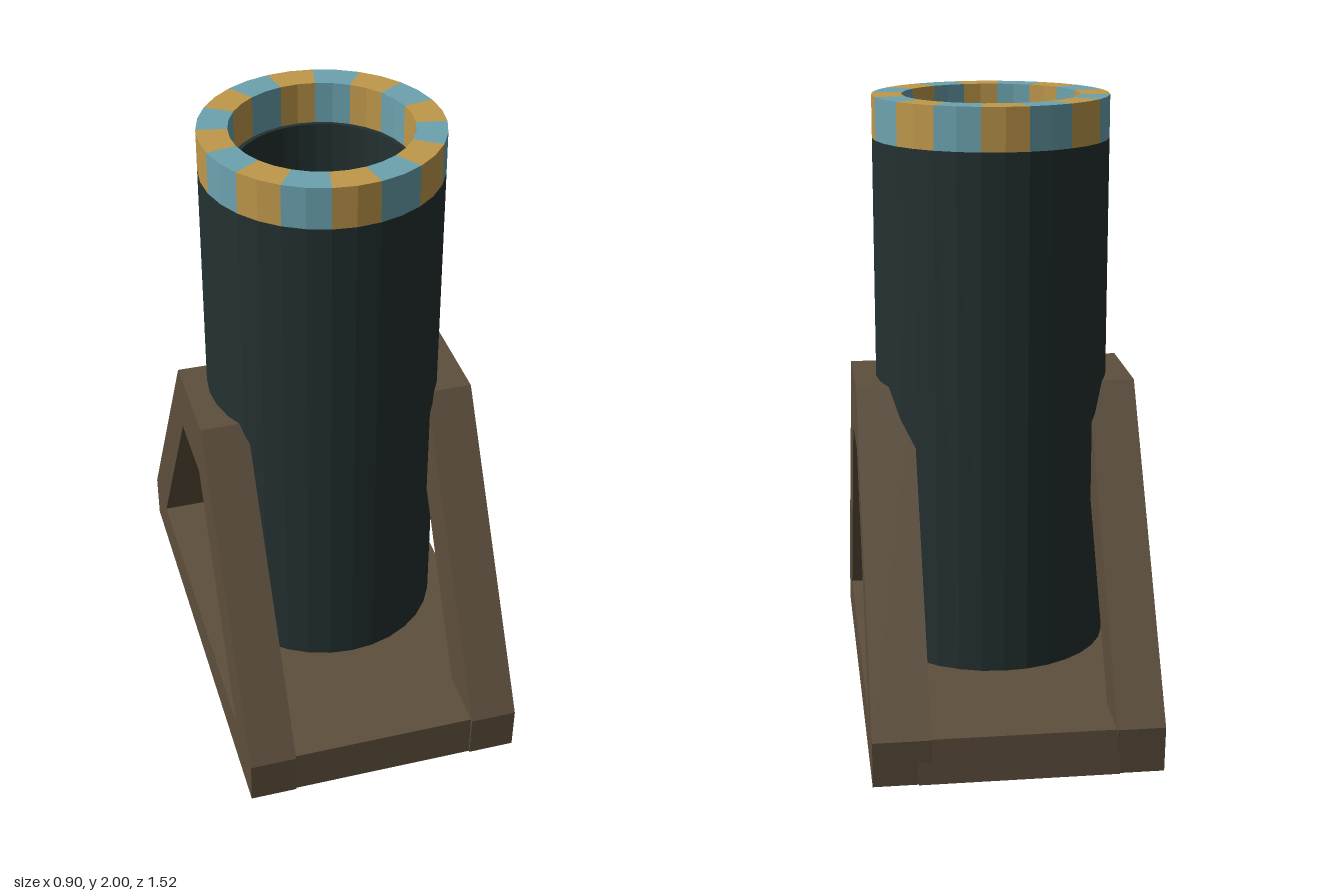
import * as THREE from 'three';

const mat = (name, color) => {
  const m = new THREE.MeshStandardMaterial({ color });
  m.name = name;
  return m;
};

// Faceted normals for the low-poly look
function faceted(geometry) {
  const g = geometry.index ? geometry.toNonIndexed() : geometry;
  g.computeVertexNormals();
  return g;
}

function addMesh(parent, name, geometry, material) {
  const mesh = new THREE.Mesh(faceted(geometry), material);
  mesh.name = name;
  parent.add(mesh);
  return mesh;
}

const points = (list) => list.map(([x, y]) => new THREE.Vector2(x, y));

export function createModel() {
  const wood = mat('dark wood', 0x5e4f3d);
  const iron = mat('dark iron', 0x243131);
  const blue = mat('blue paint', 0x6ca3b0);
  const gold = mat('gold paint', 0xbf984b);
  const stone = mat('tan stone', 0xa08b6c);

  const model = new THREE.Group();
  model.name = 'mortar';

  // Base slab between the side frames
  const base = addMesh(model, 'base', new THREE.BoxGeometry(0.62, 0.15, 1.51), wood);
  base.position.y = 0.075;

  // A-shaped side frames with a trapezoid opening; shape x runs towards the back
  const outline = points([[-0.76, 0], [0.75, 0], [0.76, 0.15], [0.15, 1.09], [-0.19, 1.09], [-0.765, 0.15]]);
  const opening = points([[-0.56, 0.15], [-0.13, 0.88], [0.12, 0.88], [0.58, 0.15]]);
  for (const side of [1, -1]) {
    const shape = new THREE.Shape(outline);
    shape.holes.push(new THREE.Path(opening));
    const g = new THREE.ExtrudeGeometry(shape, { depth: 0.15, bevelEnabled: false });
    g.rotateY(Math.PI / 2);
    g.translate(side > 0 ? 0.3 : -0.45, 0, 0);
    // The left frame's rear leg is slightly thicker on its inner face
    const p = g.attributes.position;
    for (let i = 0; i < p.count; i++) {
      if (side > 0 && p.getX(i) < 0.35 && p.getZ(i) < -0.1) p.setX(i, 0.27);
    }
    addMesh(model, side > 0 ? 'leftFrame' : 'rightFrame', g, wood);
  }

  // Hollow upright barrel with a closed bottom
  const barrel = points([[0, 0.19], [0.377, 0.19], [0.377, 1.865], [0.268, 1.865], [0.268, 0.25], [0, 0.25]]);
  addMesh(model, 'barrel', new THREE.LatheGeometry(barrel, 32), iron);

  // Muzzle ring of sixteen alternating painted blocks
  const ring = new THREE.Group();
  ring.name = 'muzzleRing';
  model.add(ring);
  const block = points([[0.377, 1.865], [0.377, 2], [0.282, 2], [0.282, 1.865]]);
  const step = Math.PI / 8;
  for (let i = 0; i < 16; i++) {
    const g = new THREE.LatheGeometry(block, 2, (i - 0.5) * step, step);
    addMesh(ring, i % 2 ? 'blueBlock' : 'goldBlock', g, i % 2 ? blue : gold);
  }

  // Ball resting in the bore
  const ball = addMesh(model, 'ball', new THREE.SphereGeometry(0.26, 24, 16), stone);
  ball.position.y = 0.51;

  return model;
}
